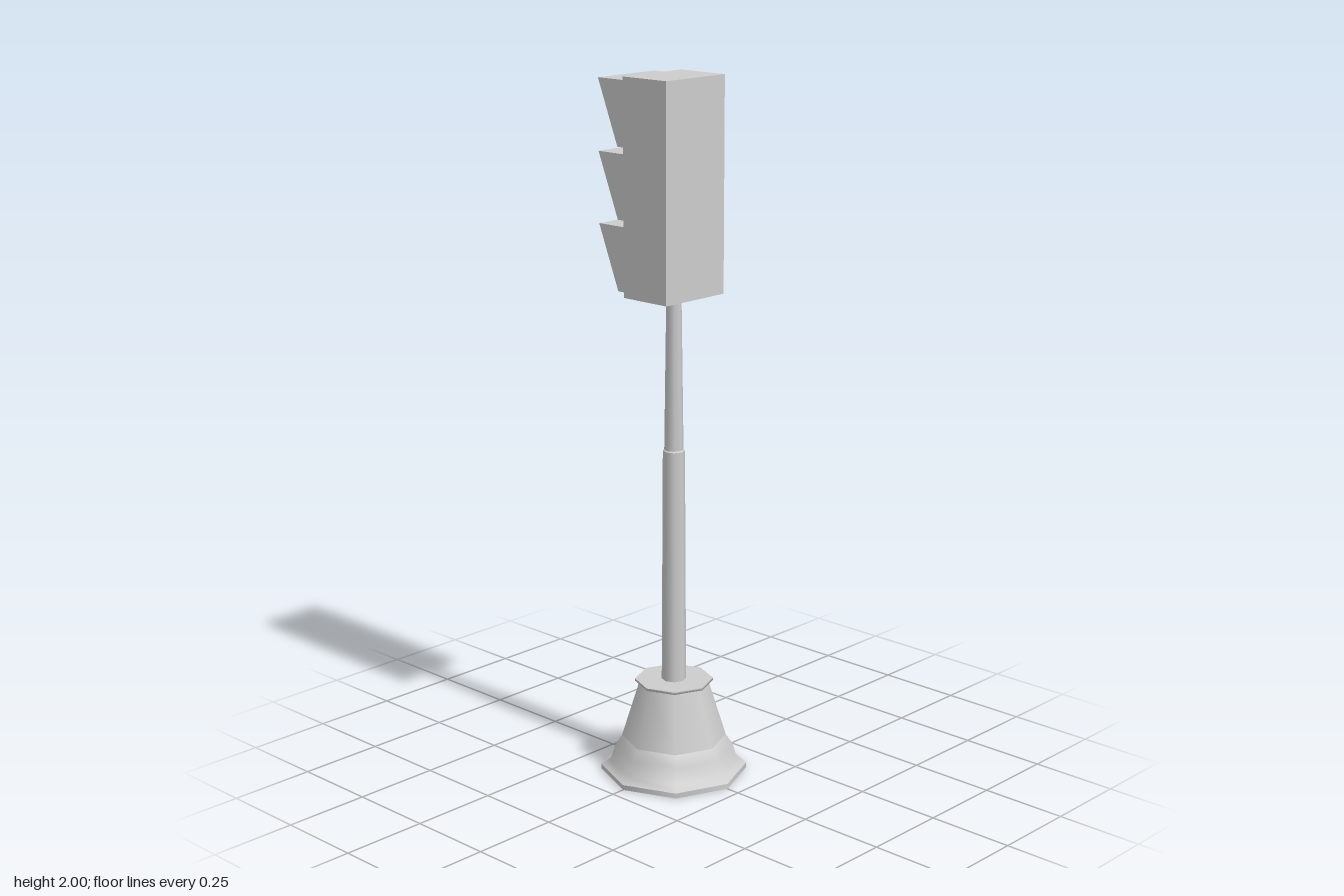
import * as THREE from 'three';

export function createModel() {
  const model = new THREE.Group();
  const grey = new THREE.MeshStandardMaterial({ color: 0xcccccc, side: THREE.DoubleSide });
  grey.name = 'plain grey';

  const add = (parent, name, geometry, x = 0, y = 0, z = 0) => {
    const mesh = new THREE.Mesh(geometry, grey);
    mesh.name = name;
    mesh.position.set(x, y, z);
    parent.add(mesh);
    return mesh;
  };

  // Eight-sided turned part from [radius, height] pairs, bottom to top
  const turned = (parent, name, points) =>
    add(parent, name, new THREE.LatheGeometry(points.map(p => new THREE.Vector2(...p)), 8));

  // Hollow bell-shaped foot; separate bands keep the edges crisp
  const base = new THREE.Group();
  base.name = 'base';
  model.add(base);
  turned(base, 'footEdge', [[0.21, 0], [0.21, 0.015]]);
  turned(base, 'skirt', [[0.21, 0.015], [0.183, 0.03], [0.17, 0.075], [0.15, 0.105]]);
  turned(base, 'cone', [[0.15, 0.105], [0.147, 0.115], [0.1, 0.268]]);
  turned(base, 'rim', [[0.1, 0.268], [0.112, 0.273], [0.112, 0.28]]);
  turned(base, 'baseTop', [[0.112, 0.28], [0, 0.28]]);

  // Two-stage tapered pole
  const pole = new THREE.Group();
  pole.name = 'pole';
  model.add(pole);
  turned(pole, 'lowerPole', [[0.035, 0.28], [0.031, 0.96]]);
  turned(pole, 'poleShoulder', [[0.031, 0.96], [0.027, 0.963]]);
  turned(pole, 'upperPole', [[0.027, 0.963], [0.021, 1.4]]);

  // Signal housing
  const head = new THREE.Group();
  head.name = 'signalHead';
  model.add(head);
  add(head, 'housing', new THREE.BoxGeometry(0.228, 0.6, 0.16), 0, 1.7, 0);

  // Slanted visors on the rear (-z) face
  const height = 0.18, halfWidth = 0.11, wall = 0.011;
  const reach = y => 0.105 + 0.072 * y / height;

  // Slab of the visor's side profile between two heights and two x positions
  const slab = (parent, name, y0, y1, x0, x1) => {
    const shape = new THREE.Shape([[0.08, y0], [reach(y0), y0], [reach(y1), y1], [0.08, y1]]
      .map(p => new THREE.Vector2(...p)));
    const geometry = new THREE.ExtrudeGeometry(shape, { depth: x1 - x0, bevelEnabled: false });
    geometry.rotateY(Math.PI / 2);
    add(parent, name, geometry, x0);
  };

  ['upper', 'middle', 'lower'].forEach((label, i) => {
    const visor = new THREE.Group();
    visor.name = label + 'Visor';
    visor.position.y = 1.81 - i * 0.198;
    head.add(visor);
    const inner = halfWidth - wall;
    slab(visor, 'leftCheek', 0, height, inner, halfWidth);
    slab(visor, 'rightCheek', 0, height, -halfWidth, -inner);
    slab(visor, 'hood', height - wall, height, -inner, inner);
    slab(visor, 'sill', 0, wall, -inner, inner);
  });

  return model;
}
